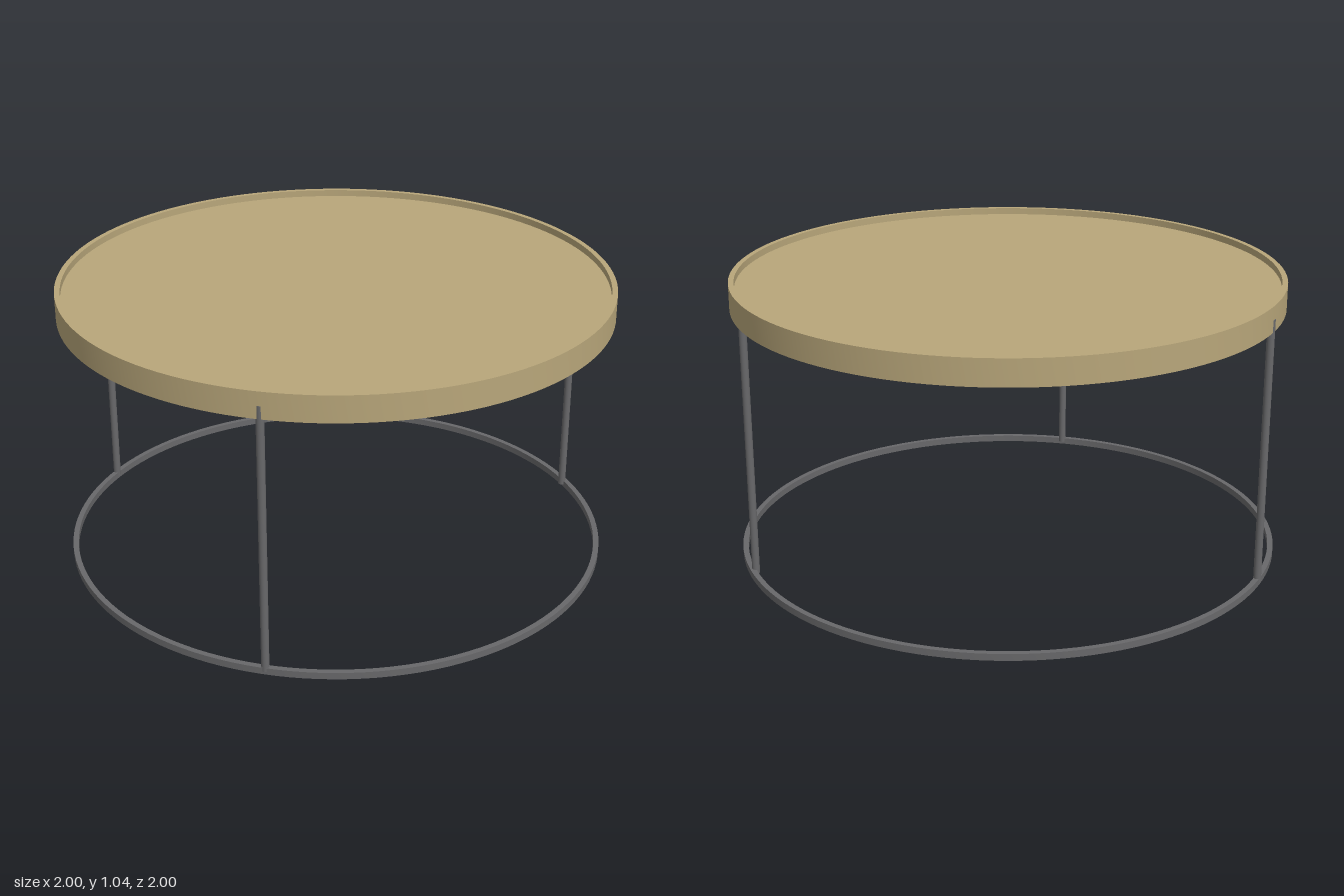
import * as THREE from 'three';
import { toCreasedNormals } from 'three/addons/utils/BufferGeometryUtils.js';

const SEGMENTS = 128;

// Square-section ring standing between two heights
function ringGeometry(inner, outer, bottom, top) {
  const profile = [
    [inner, bottom], [outer, bottom], [outer, top], [inner, top], [inner, bottom],
  ].map(([r, y]) => new THREE.Vector2(r, y));
  return toCreasedNormals(new THREE.LatheGeometry(profile, SEGMENTS), Math.PI / 6);
}

export function createModel() {
  const brass = new THREE.MeshStandardMaterial({ color: 0xb8a67a });
  brass.name = 'brass';
  const steel = new THREE.MeshStandardMaterial({ color: 0x68686a });
  steel.name = 'dark steel';

  const table = new THREE.Group();
  table.name = 'roundTrayTable';

  const add = (name, geometry, material, x = 0, y = 0, z = 0) => {
    const mesh = new THREE.Mesh(geometry, material);
    mesh.name = name;
    mesh.position.set(x, y, z);
    table.add(mesh);
  };

  // Tray: raised rim around a recessed panel
  add('trayRim', ringGeometry(0.98, 1, 0.945, 1.04), brass);
  add('trayPanel', new THREE.CylinderGeometry(0.982, 0.982, 0.035, SEGMENTS), brass, 0, 0.9975, 0);

  // Floor ring
  add('baseRing', ringGeometry(0.98, 1, 0, 0.025), steel);

  // Three thin legs from the floor ring up into the tray
  const bottom = 0.01, top = 0.99;
  const legGeometry = new THREE.CylinderGeometry(0.014, 0.014, top - bottom, 20);
  const legs = [
    ['frontLeg', -0.18, 0.971],
    ['backRightLeg', -0.915, -0.378],
    ['backLeftLeg', 0.89, -0.407],
  ];
  for (const [name, x, z] of legs) add(name, legGeometry, steel, x, (bottom + top) / 2, z);

  return table;
}
